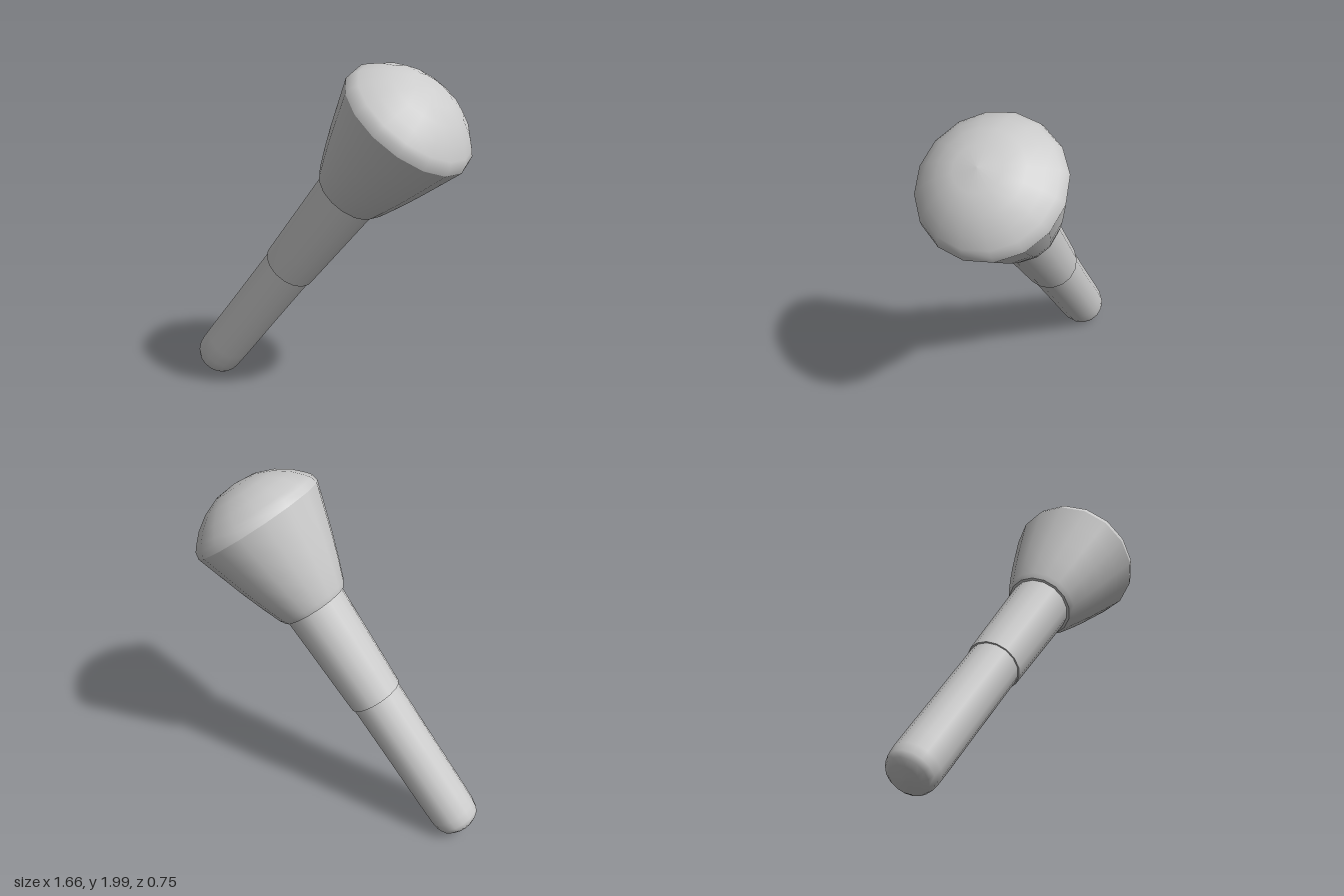
import * as THREE from 'three';

export function createModel() {
  const model = new THREE.Group();
  model.name = 'brush';
  const material = new THREE.MeshStandardMaterial({ color: 0xcccccc });

  // Each part is a smooth 16-sided turning; profile points are [radius, height along the axis],
  // listed from bottom to top, with height 0 at the widest rim.
  function turned(name, profile) {
    const points = profile.map(([r, y]) => new THREE.Vector2(r, y));
    const mesh = new THREE.Mesh(new THREE.LatheGeometry(points, 16), material);
    mesh.name = name;
    model.add(mesh);
  }

  // Long lower handle with a rounded butt
  turned('handle', [
    [0, -2.11], [0.085, -2.102], [0.115, -2.08], [0.131, -2.05],
    [0.137, -2.0], [0.139, -1.9], [0.141, -1.55], [0.145, -1.15],
  ]);

  // Slightly wider sleeve, flaring up towards the ferrule
  turned('sleeveLip', [[0.14, -1.165], [0.153, -1.165]]);
  turned('sleeve', [[0.153, -1.165], [0.159, -1.0], [0.167, -0.75], [0.175, -0.52]]);

  // Conical ferrule with a small bevel at its lower edge
  turned('ferruleBase', [[0.165, -0.545], [0.189, -0.545]]);
  turned('ferrule', [
    [0.189, -0.545], [0.207, -0.515], [0.25, -0.4], [0.291, -0.28],
    [0.334, -0.14], [0.375, -0.005],
  ]);

  // Domed head
  turned('domedHead', [
    [0.375, -0.005], [0.367, 0.034], [0.344, 0.062], [0.293, 0.113],
    [0.215, 0.166], [0.121, 0.203], [0, 0.216],
  ]);

  // Lean the whole brush to its left
  model.rotation.z = -0.65;
  model.position.set(0.52, 1.73, 0);

  const root = new THREE.Group();
  root.add(model);
  return root;
}
